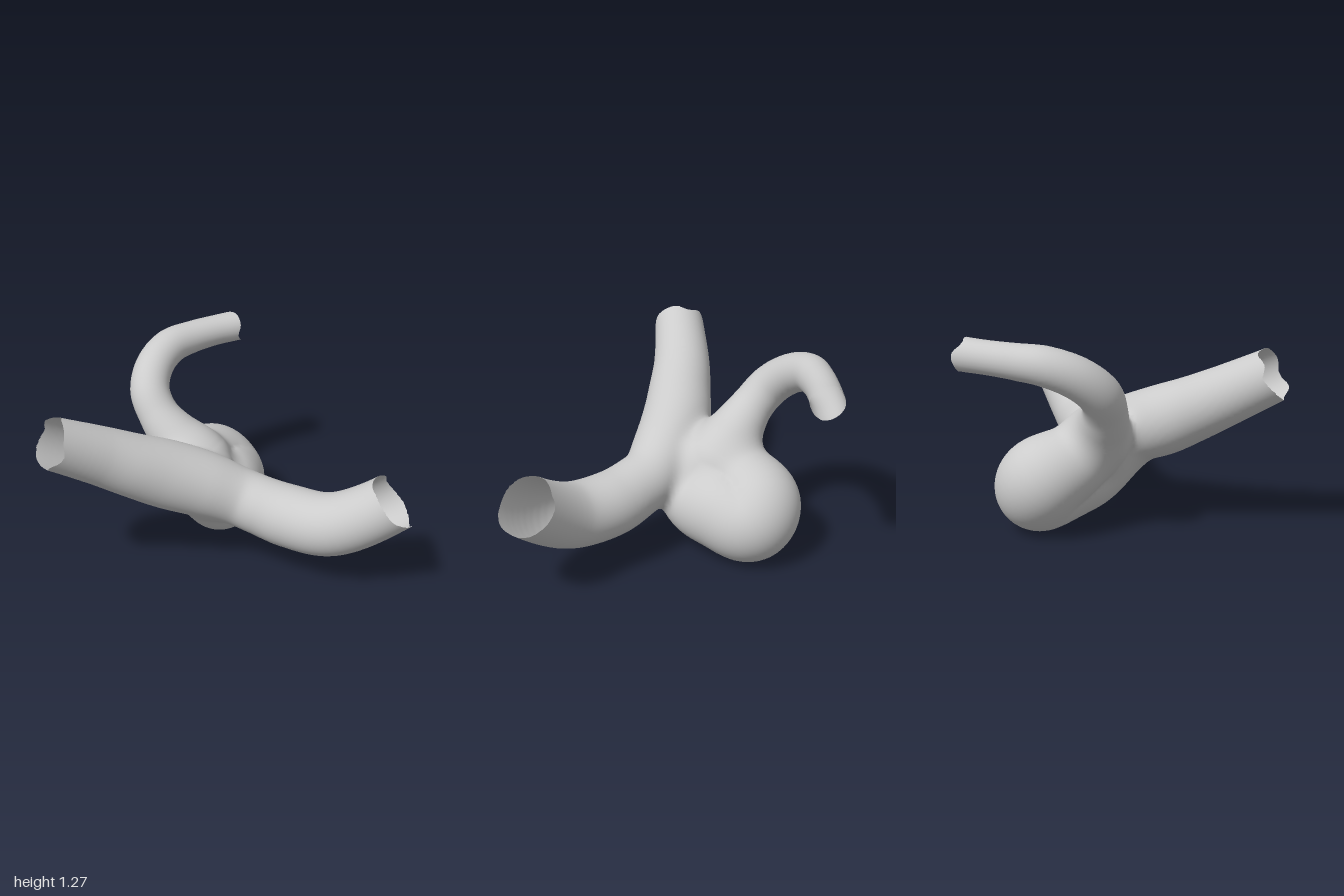
import * as THREE from 'three';

const V = (x, y, z) => new THREE.Vector3(x, y, z);

// Each limb: path points with radius [x, y, z, r]; the last point of an open limb runs past its cut.
const LIMBS = {
  mainVessel: [
    [-1.08, 1.115, -0.215, 0.16], [-0.915, 1.03, -0.215, 0.162], [-0.6, 0.862, -0.2, 0.184], [-0.4, 0.757, -0.165, 0.201],
    [-0.2, 0.66, -0.125, 0.218], [0.01, 0.57, -0.045, 0.213], [0.21, 0.478, 0.07, 0.19], [0.32, 0.435, 0.195, 0.19],
    [0.43, 0.405, 0.34, 0.2], [0.59, 0.428, 0.585, 0.199], [0.85, 0.645, 0.84, 0.183], [0.96, 0.8, 0.94, 0.183],
  ],
  sac: [
    [0.1, 0.45, -0.13, 0.2], [0.25, 0.315, -0.22, 0.228], [0.36, 0.3, -0.36, 0.264],
    [0.455, 0.275, -0.51, 0.27], [0.405, 0.35, -0.56, 0.266], [0.25, 0.455, -0.47, 0.225], [0.15, 0.56, -0.4, 0.19],
  ],
  sideBranch: [
    [0.17, 0.53, -0.32, 0.2], [0.07, 0.675, -0.46, 0.17], [0, 0.815, -0.575, 0.135], [-0.01, 0.945, -0.685, 0.13],
    [0.08, 1.06, -0.79, 0.125], [0.24, 1.135, -0.87, 0.118], [0.42, 1.155, -0.893, 0.107],
    [0.6, 1.165, -0.893, 0.101], [0.75, 1.17, -0.88, 0.102], [0.9, 1.18, -0.86, 0.102],
  ],
};

// Open ends: centre of the cut and the outward direction
const CUTS = [
  [V(-0.915, 1.03, -0.215), V(-0.89, 0.46, 0)],
  [V(0.85, 0.645, 0.84), V(0.58, 0.66, 0.48)],
  [V(0.75, 1.17, -0.88), V(0.98, 0.15, 0.14)],
].map(([c, n]) => [c, n.normalize()]);

// Turn control points into a smooth chain of short tapered segments
function chain(points) {
  const path = new THREE.CatmullRomCurve3(points.map(p => V(p[0], p[1], p[2])));
  const radius = new THREE.CatmullRomCurve3(points.map(p => V(p[3], 0, 0)), false, 'catmullrom');
  const n = (points.length - 1) * 8, out = [];
  for (let i = 0; i <= n; i++) {
    const p = path.getPoint(i / n);
    out.push([p.x, p.y, p.z, radius.getPoint(i / n).x]);
  }
  return out;
}

// Distance from a point to the skin of a chain
function chainDistance(segs, x, y, z) {
  let best = Infinity;
  for (let i = 1; i < segs.length; i++) {
    const a = segs[i - 1], b = segs[i];
    const dx = b[0] - a[0], dy = b[1] - a[1], dz = b[2] - a[2];
    const px = x - a[0], py = y - a[1], pz = z - a[2];
    const t = Math.min(1, Math.max(0, (px * dx + py * dy + pz * dz) / (dx * dx + dy * dy + dz * dz)));
    const ex = px - t * dx, ey = py - t * dy, ez = pz - t * dz;
    best = Math.min(best, Math.sqrt(ex * ex + ey * ey + ez * ez) - a[3] - t * (b[3] - a[3]));
  }
  return best;
}

// Soft union, giving the fillets where limbs meet
function blend(a, b, k) {
  const h = Math.max(k - Math.abs(a - b), 0) / k;
  return Math.min(a, b) - h * h * k / 4;
}

export function createModel() {
  const names = Object.keys(LIMBS);
  const chains = names.map(n => chain(LIMBS[n]));
  const distances = (x, y, z) => chains.map(c => chainDistance(c, x, y, z));
  const field = (x, y, z) => {
    const [main, sac, branch] = distances(x, y, z);
    return blend(blend(main, sac, 0.07), branch, 0.09);
  };

  // Sample the field on a regular grid
  const step = 0.025, origin = [-1.3, -0.1, -1.15], size = [102, 62, 98];
  const stride = [1, size[0], size[0] * size[1]];
  const values = new Float32Array(size[0] * size[1] * size[2]);
  const eachCell = (margin, fn) => {
    for (let k = margin; k < size[2] - margin; k++)
      for (let j = margin; j < size[1] - margin; j++)
        for (let i = margin; i < size[0] - margin; i++)
          fn(i, j, k, i + j * stride[1] + k * stride[2]);
  };
  eachCell(0, (i, j, k, id) => {
    values[id] = field(origin[0] + i * step, origin[1] + j * step, origin[2] + k * step);
  });

  // One skin vertex per crossed cell, at the mean of its edge crossings
  const vertexOf = new Int32Array(values.length).fill(-1);
  const positions = [], normals = [], beyond = [], owner = [];
  eachCell(1, (i, j, k, id) => {
    const sum = [0, 0, 0];
    let count = 0;
    for (let corner = 0; corner < 8; corner++) {
      const bits = [corner & 1, (corner >> 1) & 1, corner >> 2];
      const at = id + bits[0] + bits[1] * stride[1] + bits[2] * stride[2];
      const a = values[at];
      for (let axis = 0; axis < 3; axis++) {
        if (bits[axis]) continue;
        const b = values[at + stride[axis]];
        if ((a < 0) === (b < 0)) continue;
        for (let d = 0; d < 3; d++) sum[d] += bits[d] + (d === axis ? a / (a - b) : 0);
        count++;
      }
    }
    if (!count) return;
    const p = V(...[i, j, k].map((g, d) => origin[d] + (g + sum[d] / count) * step));
    const e = 0.025;
    const n = V(
      field(p.x + e, p.y, p.z) - field(p.x - e, p.y, p.z),
      field(p.x, p.y + e, p.z) - field(p.x, p.y - e, p.z),
      field(p.x, p.y, p.z + e) - field(p.x, p.y, p.z - e)).normalize();
    const d = distances(p.x, p.y, p.z);

    // Pull anything past a cut back onto its slightly ragged rim
    let cut = false;
    for (const [centre, dir] of CUTS) {
      const rel = p.clone().sub(centre);
      const over = rel.dot(dir) - 0.018 * Math.sin(31 * p.y + 23 * p.z);
      if (rel.length() < 0.42 && over > 0) {
        p.addScaledVector(dir, -over);
        cut = true;
      }
    }
    vertexOf[id] = beyond.length;
    beyond.push(cut);
    owner.push(d.indexOf(Math.min(...d)));
    positions.push(p.x, p.y, p.z);
    normals.push(n.x, n.y, n.z);
  });

  // One quad per crossed grid edge, sorted by the limb it belongs to
  const faces = names.map(() => []);
  eachCell(2, (i, j, k, id) => {
    for (let axis = 0; axis < 3; axis++) {
      const inside = values[id] < 0;
      if (inside === (values[id + stride[axis]] < 0)) continue;
      const b = stride[(axis + 1) % 3], c = stride[(axis + 2) % 3];
      const q = [id - b - c, id - c, id, id - b].map(cell => vertexOf[cell]);
      if (q.every(v => beyond[v])) continue;
      if (!inside) q.reverse();
      faces[owner[q[0]]].push(q[0], q[1], q[2], q[0], q[2], q[3]);
    }
  });

  const group = new THREE.Group();
  group.name = 'vesselWithSac';
  const material = new THREE.MeshStandardMaterial({ color: 0xcccccc, side: THREE.DoubleSide });
  names.forEach((name, n) => {
    const shared = new THREE.BufferGeometry();
    shared.setAttribute('position', new THREE.Float32BufferAttribute(positions, 3));
    shared.setAttribute('normal', new THREE.Float32BufferAttribute(normals, 3));
    shared.setIndex(faces[n]);
    const mesh = new THREE.Mesh(shared.toNonIndexed(), material);
    mesh.name = name;
    group.add(mesh);
  });
  return group;
}
